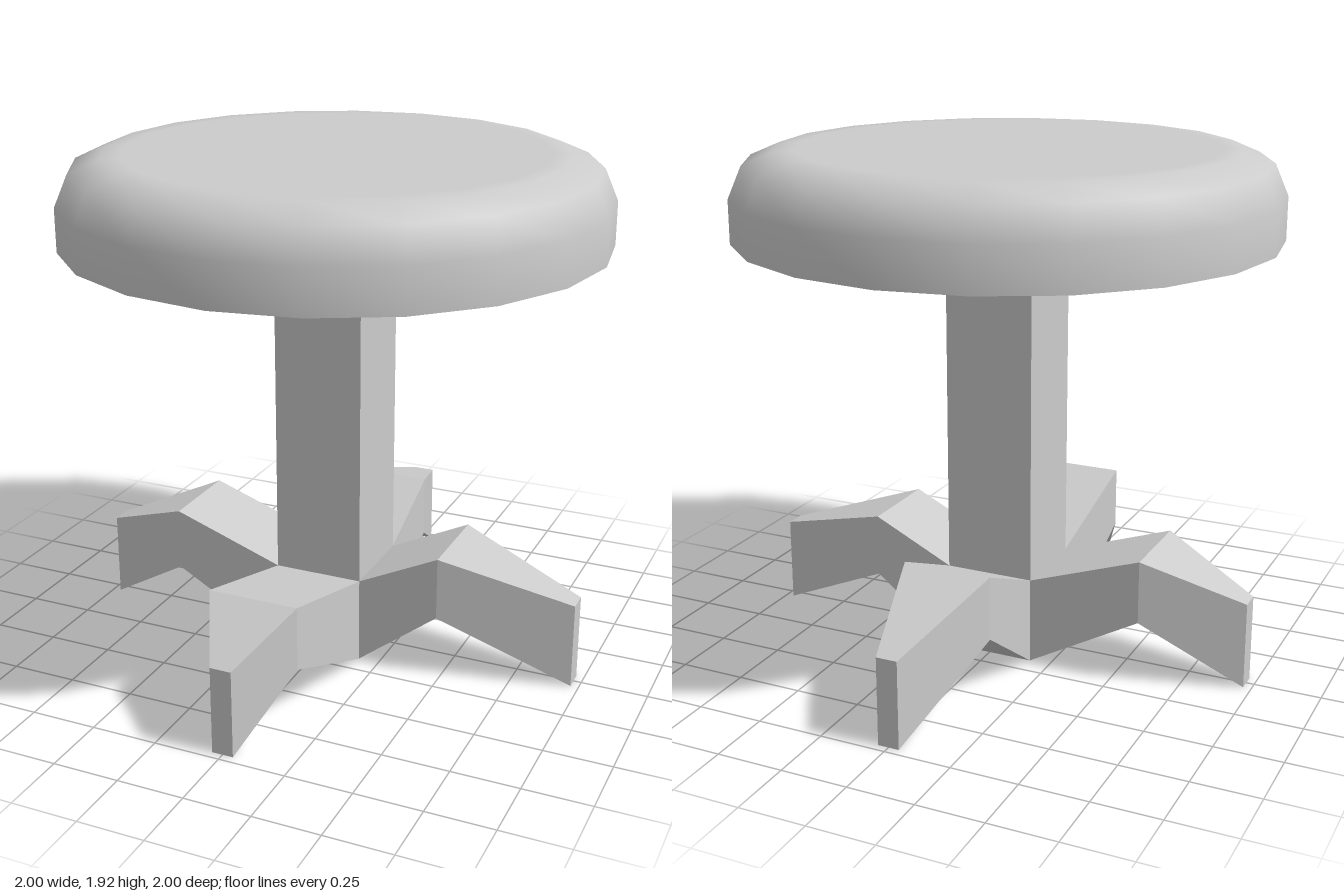
import * as THREE from 'three';

const HALF = 0.17; // half width of the post and of the legs
const REACH = 0.97; // distance of the leg tips from the centre

// A bent leg along +x: full width up to the elbow, tapering to the tip
function legGeometry(elbow) {
  const profile = new THREE.Shape([
    [HALF, 0], [elbow, 0.24], [REACH, 0], [REACH, 0.33], [elbow, 0.48], [HALF, 0.33],
  ].map(([x, y]) => new THREE.Vector2(x, y)));
  const geo = new THREE.ExtrudeGeometry(profile, { depth: 2 * HALF, bevelEnabled: false });
  geo.translate(0, 0, -HALF);
  const pos = geo.attributes.position;
  for (let i = 0; i < pos.count; i++) {
    if (pos.getX(i) > REACH - 0.01) pos.setZ(i, Math.sign(pos.getZ(i)) * 0.04);
  }
  geo.computeVertexNormals();
  return geo;
}

export function createModel() {
  const model = new THREE.Group();
  const flat = new THREE.MeshStandardMaterial({ color: 0xcccccc, flatShading: true });
  const smooth = new THREE.MeshStandardMaterial({ color: 0xcccccc });

  const add = (name, geometry, material, parent = model) => {
    const mesh = new THREE.Mesh(geometry, material);
    mesh.name = name;
    parent.add(mesh);
    return mesh;
  };

  // Seat: softly rounded cushion with a sharp flat underside
  const seat = new THREE.Group();
  seat.name = 'seat';
  model.add(seat);
  const rim = [[1, 1.6], [1, 1.76], [0.95, 1.875], [0.84, 1.922], [0.77, 1.924], [0, 1.924]];
  add('cushion', new THREE.LatheGeometry(rim.map(([r, y]) => new THREE.Vector2(r, y)), 20), smooth, seat);
  const underside = add('seatUnderside', new THREE.CircleGeometry(1, 20), flat, seat);
  underside.rotation.x = Math.PI / 2;
  underside.position.y = 1.6;

  // Square centre post
  add('post', new THREE.BoxGeometry(2 * HALF, 1.6, 2 * HALF), flat).position.y = 0.8;

  // Four legs, each bent at a slightly different place
  const legs = [['leftLeg', 0.48], ['backLeg', 0.52], ['rightLeg', 0.6], ['frontLeg', 0.72]];
  legs.forEach(([name, elbow], i) => {
    add(name, legGeometry(elbow), flat).rotation.y = (i * Math.PI) / 2;
  });

  return model;
}
